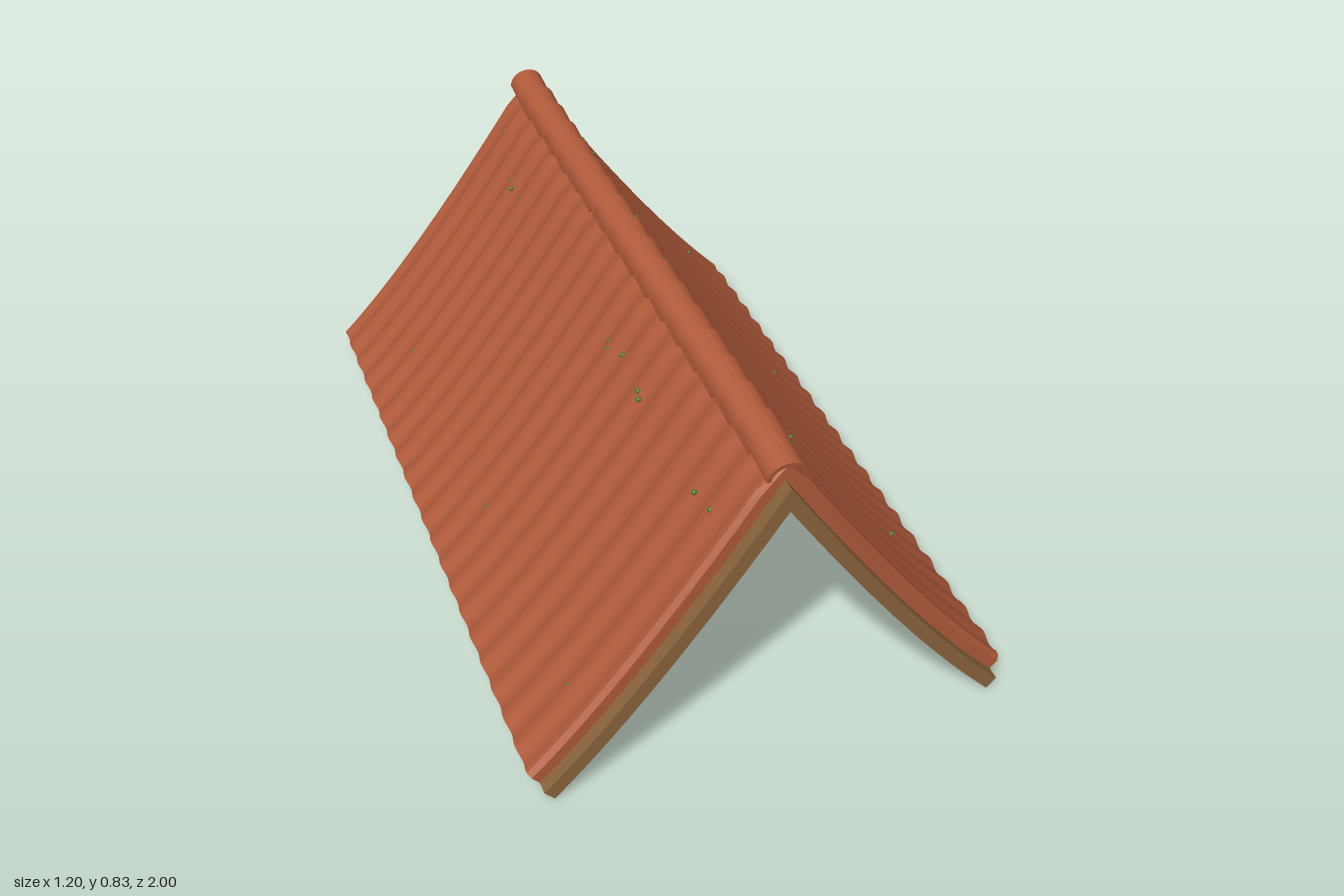
import * as THREE from 'three';
import { toCreasedNormals } from 'three/addons/utils/BufferGeometryUtils.js';

const mat = (name, color) => Object.assign(new THREE.MeshStandardMaterial({ color }), { name });

// Slope line of one roof half, from ridge to eave
const slope = new THREE.QuadraticBezierCurve(
  new THREE.Vector2(0, 0.75), new THREE.Vector2(0.34, 0.25), new THREE.Vector2(0.57, 0.026));

// Point on the slope at t, raised by d along the surface normal
function onSlope(t, d) {
  const p = slope.getPoint(t), g = slope.getTangent(t);
  return [p.x - g.y * d, p.y + g.x * d];
}

// Sweep a counter-clockwise (z, d) section down one roof half
function sweep(section, side, t0 = 0, t1 = 1, steps = 20) {
  const pos = [], idx = [], n = section.length;
  const fromRidge = t0 === 0;
  const start = fromRidge ? 0.045 : t0;
  const rings = [];
  if (fromRidge) rings.push(null);
  for (let i = 0; i <= steps; i++) rings.push(start + (t1 - start) * i / steps);
  for (const t of rings) {
    for (const [z, d] of section) {
      // the first ring is mitred on the centre line
      const [x, y] = t === null ? [0, 0.75 + d * (d < 0 ? 1.78 : 1.1)] : onSlope(t, d);
      pos.push(side * Math.max(x, 0), y, z);
    }
  }
  const tri = (a, b, c) => (side > 0 ? idx.push(a, b, c) : idx.push(a, c, b));
  for (let i = 0; i < rings.length - 1; i++) {
    for (let j = 0; j < n; j++) {
      const a = i * n + j, a2 = i * n + (j + 1) % n;
      tri(a, a2 + n, a2);
      tri(a, a + n, a2 + n);
    }
  }
  const end = (rings.length - 1) * n;
  const caps = THREE.ShapeUtils.triangulateShape(section.map(([z, d]) => new THREE.Vector2(z, d)), []);
  for (const [a, b, c] of caps) {
    tri(a, b, c);
    tri(end + a, end + c, end + b);
  }
  const geo = new THREE.BufferGeometry();
  geo.setAttribute('position', new THREE.Float32BufferAttribute(pos, 3));
  geo.setIndex(idx);
  return toCreasedNormals(geo, 0.65);
}

const rect = (z0, z1, d0, d1) => [[z0, d0], [z1, d0], [z1, d1], [z0, d1]];

// Wavy tile section with rounded gable edges
const TILE_BACK = -0.98, TILE_FRONT = 0.965, WAVES = 20;
function tileHeight(z) {
  const u = (z - TILE_BACK) / (TILE_FRONT - TILE_BACK);
  const edge = Math.min(z - TILE_BACK, TILE_FRONT - z);
  const k = Math.max(0, 1 - edge / 0.035);
  const wave = 0.0045 * (1 - Math.cos(u * WAVES * Math.PI * 2)) * (1 - k);
  return 0.043 - wave - 0.016 * (1 - Math.sqrt(1 - k * k));
}
function tileSection() {
  const pts = [[TILE_BACK, 0], [TILE_FRONT, 0]];
  const n = WAVES * 8;
  for (let i = n; i >= 0; i--) {
    const z = TILE_BACK + (TILE_FRONT - TILE_BACK) * i / n;
    pts.push([z, tileHeight(z)]);
  }
  return pts;
}

export function createModel() {
  const root = new THREE.Group();
  root.name = 'tiledRoof';
  const clay = mat('clay tile', 0xb05a3a);
  const wood = mat('wood', 0x8a633c);
  const darkWood = mat('dark wood', 0x6b4d30);
  const green = mat('moss', 0x4f7a2c);
  const add = (parent, name, geo, material) => {
    const m = new THREE.Mesh(geo, material);
    m.name = name;
    parent.add(m);
    return m;
  };

  // Moss tufts as [z, t along the slope]
  const tufts = [[0.7, 0.15], [0.67, 0.16], [0.61, 0.16], [-0.16, 0.15], [-0.18, 0.16], [-0.24, 0.14],
    [-0.39, 0.15], [-0.41, 0.16], [-0.79, 0.16], [-0.87, 0.15], [0.6, 0.73], [-0.16, 0.73], [-0.85, 0.73]];
  const tuftGeo = new THREE.IcosahedronGeometry(0.007, 1);

  for (const side of [1, -1]) {
    const half = new THREE.Group();
    half.name = side > 0 ? 'leftSlope' : 'rightSlope';
    root.add(half);
    add(half, 'tiles', sweep(tileSection(), side), clay);
    add(half, 'deck', sweep(rect(-0.97, 0.96, -0.014, 0.002), side), darkWood);
    add(half, 'eaveBoard', sweep(rect(-0.97, 0.97, -0.027, 0.001), side, 0.95, 1, 3), wood);
    for (const end of [1, -1]) {
      const z = end * 0.9825;
      add(half, 'gableBoard', sweep(rect(z - 0.0175, z + 0.0175, -0.035, 0), side), wood);
      add(half, 'rafter', sweep(rect(end * 0.9 - 0.016, end * 0.9 + 0.016, -0.034, 0), side), wood);
    }
    for (const [z, t] of tufts) {
      const [x, y] = onSlope(t, tileHeight(z));
      add(half, 'moss', tuftGeo, green).position.set(side * x, y, z * side);
    }
  }

  // Overlapping half-round ridge tiles, each tilted up towards the back
  const R = 0.047, r = 0.037, LENGTH = 0.177, COUNT = 17, PITCH = 0.111;
  const arch = new THREE.Shape();
  arch.absarc(0, 0, R, 0, Math.PI, false);
  arch.lineTo(-r, 0);
  arch.absarc(0, 0, r, Math.PI, 0, true);
  arch.closePath();
  const capGeo = toCreasedNormals(
    new THREE.ExtrudeGeometry(arch, { depth: LENGTH, bevelEnabled: false, curveSegments: 12 }), 0.6);
  capGeo.translate(0, 0, -LENGTH);
  const ridge = new THREE.Group();
  ridge.name = 'ridge';
  root.add(ridge);
  for (let i = 0; i < COUNT; i++) {
    const cap = add(ridge, 'ridgeTile', capGeo, clay);
    cap.position.set(0, 0.758, 0.975 - i * PITCH);
    cap.rotation.x = 0.145;
  }
  return root;
}
